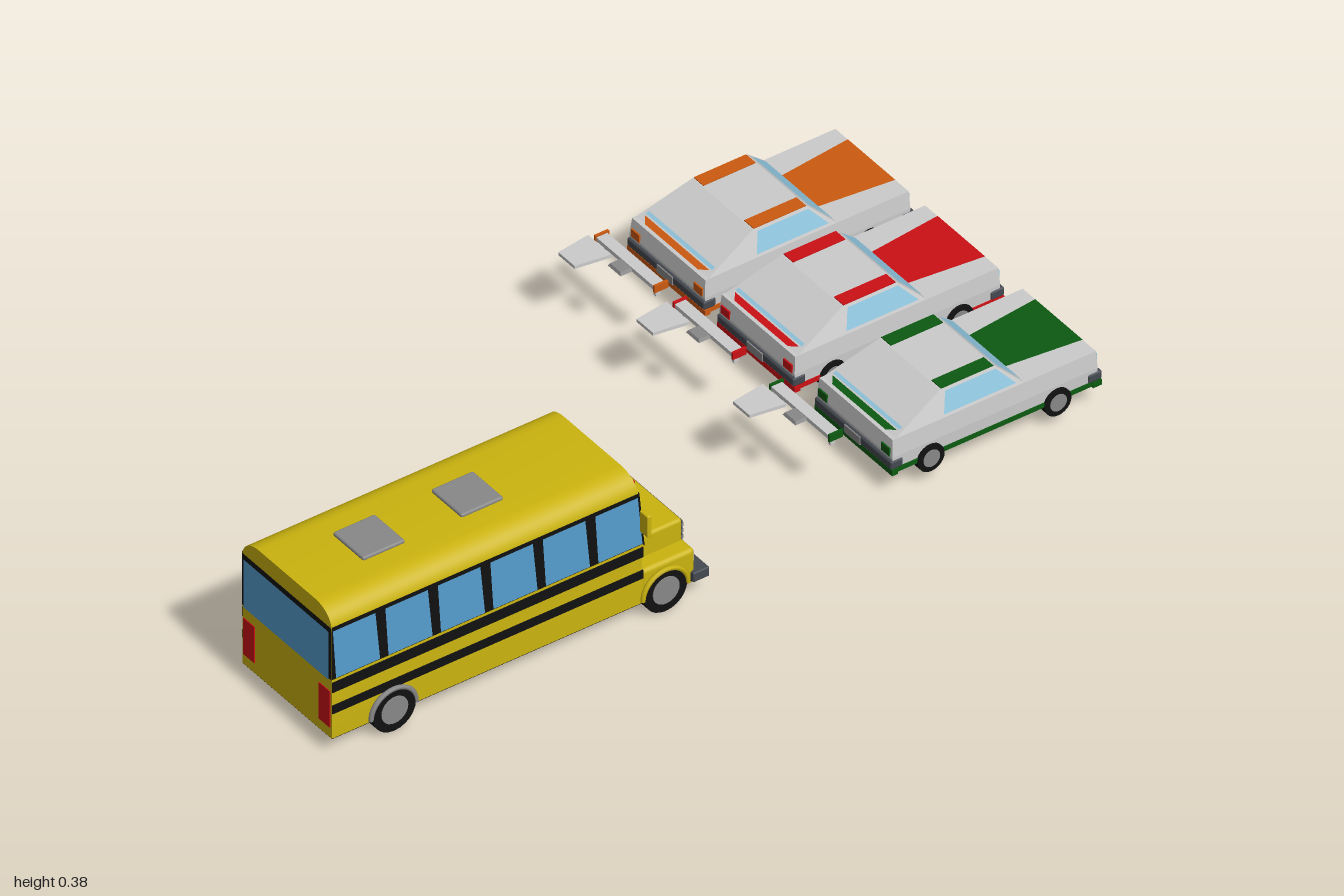
import * as THREE from 'three';
import { toCreasedNormals } from 'three/addons/utils/BufferGeometryUtils.js';
import { RoundedBoxGeometry } from 'three/addons/geometries/RoundedBoxGeometry.js';

const YELLOW = 0xcbb40f, BLACK = 0x111111, SKY = 0x559fd0, GLASS = 0x8fc4dd;
const RED = 0xcc1015, ORANGE = 0xcc5a10, GREEN = 0x0d5a12, GREY = 0xcccccc, DARK = 0x888888, CHARCOAL = 0x444850;

const mats = {};
const mat = (color) => (mats[color] ??= new THREE.MeshStandardMaterial({ color, side: THREE.DoubleSide }));

function add(group, name, geometry, color) {
  const mesh = new THREE.Mesh(geometry, mat(color));
  mesh.name = name;
  group.add(mesh);
  return mesh;
}

// Box given by its limits on each axis; r rounds the edges
function box(group, name, [x0, x1], [y0, y1], [z0, z1], color, r = 0) {
  const size = [x1 - x0, y1 - y0, z1 - z0];
  const g = r ? new RoundedBoxGeometry(...size, 2, r) : new THREE.BoxGeometry(...size);
  g.translate((x0 + x1) / 2, (y0 + y1) / 2, (z0 + z1) / 2);
  return add(group, name, g, color);
}

function fromQuads(quads) {
  const pos = [];
  for (const [a, b, c, d] of quads) pos.push(...a, ...b, ...c, ...a, ...c, ...d);
  const g = new THREE.BufferGeometry();
  g.setAttribute('position', new THREE.Float32BufferAttribute(pos, 3));
  g.computeVertexNormals();
  return g;
}
const quad = (group, name, corners, color) => add(group, name, fromQuads([corners]), color);

// Solid through stacked rectangles [y, halfWidth, zBack, zFront]
function loft(levels) {
  const rings = levels.map(([y, w, z0, z1]) => [[-w, y, z1], [w, y, z1], [w, y, z0], [-w, y, z0]]);
  const quads = [[...rings[0]].reverse(), rings.at(-1)];
  for (let i = 0; i + 1 < rings.length; i++)
    for (let j = 0; j < 4; j++) {
      const k = (j + 1) % 4;
      quads.push([rings[i][j], rings[i][k], rings[i + 1][k], rings[i + 1][j]]);
    }
  return fromQuads(quads);
}

function wheel(group, name, side, inner, outer, y, z, r) {
  const wheelGroup = new THREE.Group();
  wheelGroup.name = name;
  const disc = (part, rad, x0, x1, color) => {
    const g = new THREE.CylinderGeometry(rad, rad, x1 - x0, 24).rotateZ(Math.PI / 2);
    add(wheelGroup, part, g.translate(side * (x0 + x1) / 2, y, z), color);
  };
  disc('tyre', r, inner, outer, BLACK);
  disc('hub', r * 0.62, outer - 0.005, outer + 0.002, DARK);
  group.add(wheelGroup);
}

function makeBus() {
  const bus = new THREE.Group();
  bus.name = 'bus';
  const W = 0.16;
  const slant = (y) => 0.2 + 0.1 * Math.max(0, y - 0.2);

  // Body with rounded roof edges and a raked front
  const s = new THREE.Shape();
  s.moveTo(-W, 0.043);
  s.lineTo(W, 0.043);
  s.lineTo(W, 0.325);
  s.bezierCurveTo(W, 0.355, 0.135, 0.375, 0.1, 0.375);
  s.lineTo(-0.1, 0.375);
  s.bezierCurveTo(-0.135, 0.375, -W, 0.355, -W, 0.325);
  s.closePath();
  let body = new THREE.ExtrudeGeometry(s, { depth: 0.8, bevelEnabled: false, curveSegments: 8 });
  const p = body.attributes.position;
  for (let i = 0; i < p.count; i++) p.setZ(i, p.getZ(i) > 0.4 ? 1 : slant(p.getY(i)));
  add(bus, 'body', toCreasedNormals(body, 0.6), YELLOW);
  box(bus, 'underside', [-0.158, 0.158], [0.04, 0.044], [0.07, 0.998], BLACK);

  // Front: hood, fenders, grille, headlamps and bumper
  box(bus, 'hood', [-0.12, 0.12], [0.045, 0.18], [0.072, 0.21], YELLOW, 0.008);
  box(bus, 'fenders', [-W, W], [0.045, 0.125], [0.068, 0.205], YELLOW, 0.01);
  box(bus, 'grille', [-0.108, 0.108], [0.08, 0.165], [0.064, 0.075], CHARCOAL);
  for (let i = 0; i < 5; i++)
    box(bus, 'grilleSlat', [-0.108, 0.108], [0.085 + i * 0.016, 0.094 + i * 0.016], [0.061, 0.066], DARK);
  box(bus, 'frontBumper', [-0.173, 0.17], [0.045, 0.07], [0.038, 0.08], CHARCOAL, 0.004);

  // Windscreen and rear window with black surrounds
  const pane = (name, w, y0, y1, zOf, color) =>
    quad(bus, name, [[-w, y0, zOf(y0)], [w, y0, zOf(y0)], [w, y1, zOf(y1)], [-w, y1, zOf(y1)]], color);
  pane('windscreenFrame', W, 0.19, 0.335, (y) => slant(y) - 0.002, BLACK);
  pane('windscreen', 0.145, 0.2, 0.322, (y) => slant(y) - 0.004, SKY);
  pane('rearFrame', W, 0.197, 0.333, () => 1.001, BLACK);
  pane('rearWindow', 0.152, 0.195, 0.321, () => 1.003, SKY);

  // Roof hatches
  for (const z of [0.538, 0.79])
    box(bus, 'roofHatch', [-0.055, 0.055], [0.372, 0.383], [z - 0.054, z + 0.054], DARK, 0.005);

  for (const side of [-1, 1]) {
    const span = (a, b) => (side > 0 ? [a, b] : [-b, -a]);
    const sidePanel = (name, x, [z0, z1, z2, z3], y0, y1, color) =>
      quad(bus, name, [[side * x, y0, z0], [side * x, y0, z1], [side * x, y1, z2], [side * x, y1, z3]], color);

    // Side windows and stripes
    sidePanel('windowBand', W + 0.001, [0.2, 1, 1, 0.213], 0.198, 0.336, BLACK);
    for (let i = 0; i < 6; i++) {
      const z = 0.205 + i * 0.1345;
      sidePanel('sideWindow', W + 0.002, [z, z + 0.113, z + 0.121, z + 0.012], 0.2, 0.326, SKY);
    }
    for (const [y0, y1] of [[0.164, 0.19], [0.108, 0.13]])
      box(bus, 'sideStripe', span(W - 0.002, W + 0.002), [y0, y1], [0.203, 0.999], BLACK);

    // Lamps and mirrors
    box(bus, 'tailLamp', span(0.115, 0.155), [0.07, 0.165], [0.995, 1.002], RED);
    box(bus, 'markerLamp', span(0.115, 0.14), [0.338, 0.352], [0.208, 0.225], RED);
    box(bus, 'headlamp', span(0.124, 0.15), [0.085, 0.112], [0.064, 0.072], GREY);
    box(bus, 'mirror', span(W, 0.19), [0.234, 0.29], [0.2, 0.212], YELLOW, 0.003);

    // Wheels and arches
    wheel(bus, 'rearWheel', side, 0.125, 0.168, 0.055, 0.845, 0.055);
    wheel(bus, 'frontWheel', side, 0.105, 0.166, 0.055, 0.148, 0.055);
    for (const z of [0.148, 0.845]) {
      const arch = new THREE.TorusGeometry(0.058, 0.006, 6, 24, Math.PI).rotateY(Math.PI / 2);
      add(bus, 'wheelArch', arch.translate(side * 0.165, 0.05, z), z > 0.5 ? DARK : YELLOW);
    }
  }
  return bus;
}

function makeCar(color) {
  const car = new THREE.Group();
  car.name = 'car';
  // Lower body and fastback cabin
  add(car, 'body', loft([[0.065, 0.134, -0.985, -0.468], [0.1, 0.135, -0.99, -0.463], [0.143, 0.131, -0.988, -0.467]]), GREY);
  add(car, 'cabin', loft([[0.143, 0.13, -0.805, -0.476], [0.2, 0.108, -0.745, -0.605]]), GREY);
  box(car, 'underside', [-0.132, 0.132], [0.058, 0.066], [-0.985, -0.467], BLACK);
  box(car, 'skirt', [-0.137, 0.137], [0.06, 0.071], [-0.993, -0.462], color);

  // Panel across the car: from (y, z, halfWidth) to (y, z, halfWidth)
  const across = (name, [ya, za, wa], [yb, zb, wb], c) =>
    quad(car, name, [[-wa, ya, za], [wa, ya, za], [wb, yb, zb], [-wb, yb, zb]], c);
  across('windscreen', [0.148, -0.802, 0.119], [0.196, -0.752, 0.101], GLASS);
  across('rearWindow', [0.151, -0.493, 0.119], [0.196, -0.611, 0.1], GLASS);
  across('rearDeckStripe', [0.146, -0.474, 0.095], [0.15, -0.489, 0.115], color);
  across('hoodStripe', [0.145, -0.987, 0.085], [0.145, -0.803, 0.065], color);

  // Front grille and bumpers
  box(car, 'grille', [-0.09, 0.09], [0.1, 0.134], [-0.994, -0.985], CHARCOAL);
  box(car, 'frontBumper', [-0.138, 0.138], [0.07, 0.092], [-1, -0.965], CHARCOAL, 0.005);
  box(car, 'rearBumper', [-0.138, 0.138], [0.07, 0.092], [-0.49, -0.458], CHARCOAL, 0.005);
  box(car, 'rearPlate', [-0.028, 0.028], [0.07, 0.09], [-0.462, -0.456], DARK);
  for (const z of [[-0.998, -0.975], [-0.475, -0.46]])
    box(car, 'valance', [-0.139, 0.139], [0.056, 0.07], z, color);

  for (const side of [-1, 1]) {
    const span = (a, b) => (side > 0 ? [a, b] : [-b, -a]);
    const x = (y) => side * (0.132 - (y - 0.143) * 0.386);
    quad(car, 'sideWindow', [[0.15, -0.785], [0.15, -0.6], [0.195, -0.615], [0.195, -0.744]].map(([y, z]) => [x(y), y, z]), GLASS);
    box(car, 'roofStripe', span(0.073, 0.107), [0.198, 0.202], [-0.742, -0.608], color);
    box(car, 'tailLamp', span(0.097, 0.127), [0.1, 0.12], [-0.47, -0.461], color);
    box(car, 'headlamp', span(0.094, 0.126), [0.103, 0.132], [-0.994, -0.985], GLASS);
    for (const [name, z] of [['frontWheel', -0.885], ['rearWheel', -0.56]])
      wheel(car, name, side, 0.108, 0.14, 0.06, z, 0.034);
  }
  return car;
}

// Loose spare parts: wing, hood scoop and roof vent, measured from their left end
function makeSpares(color) {
  const kit = new THREE.Group();
  kit.name = 'spareParts';
  box(kit, 'wing', [0, 0.215], [0.174, 0.184], [-0.365, -0.337], GREY);
  for (const x of [0, 0.211]) box(kit, 'wingEndPlate', [x, x + 0.006], [0.17, 0.188], [-0.37, -0.335], color);
  for (const x of [0.016, 0.19]) {
    const strut = box(kit, 'wingStrut', [x, x + 0.008], [0.143, 0.176], [-0.36, -0.348], GREY);
    strut.geometry.translate(0, -0.143, 0.354).rotateX(0.15).translate(0, 0.143, -0.358);
  }
  const scoop = new THREE.Shape([[0, 0.32], [0.083, 0.32], [0.07, 0.235], [0.012, 0.235]].map((q) => new THREE.Vector2(...q)));
  const g = new THREE.ExtrudeGeometry(scoop, { depth: 0.008, bevelEnabled: false }).rotateX(-Math.PI / 2);
  add(kit, 'hoodScoop', g.translate(0, 0.187, 0), GREY);
  add(kit, 'roofVent', loft([[0.198, 0.023, -0.32, -0.29], [0.205, 0.019, -0.32, -0.293]]).translate(0.135, 0, 0), DARK);
  return kit;
}

export function createModel() {
  const model = new THREE.Group();
  model.name = 'vehicleSet';
  const bus = makeBus();
  bus.position.x = 0.315;
  model.add(bus);
  for (const [x, left, color] of [[-0.367, -0.45, ORANGE], [-0.046, -0.17, RED], [0.303, 0.175, GREEN]]) {
    const car = makeCar(color), spares = makeSpares(color);
    car.position.x = x;
    spares.position.x = left;
    model.add(car, spares);
  }
  return model;
}
